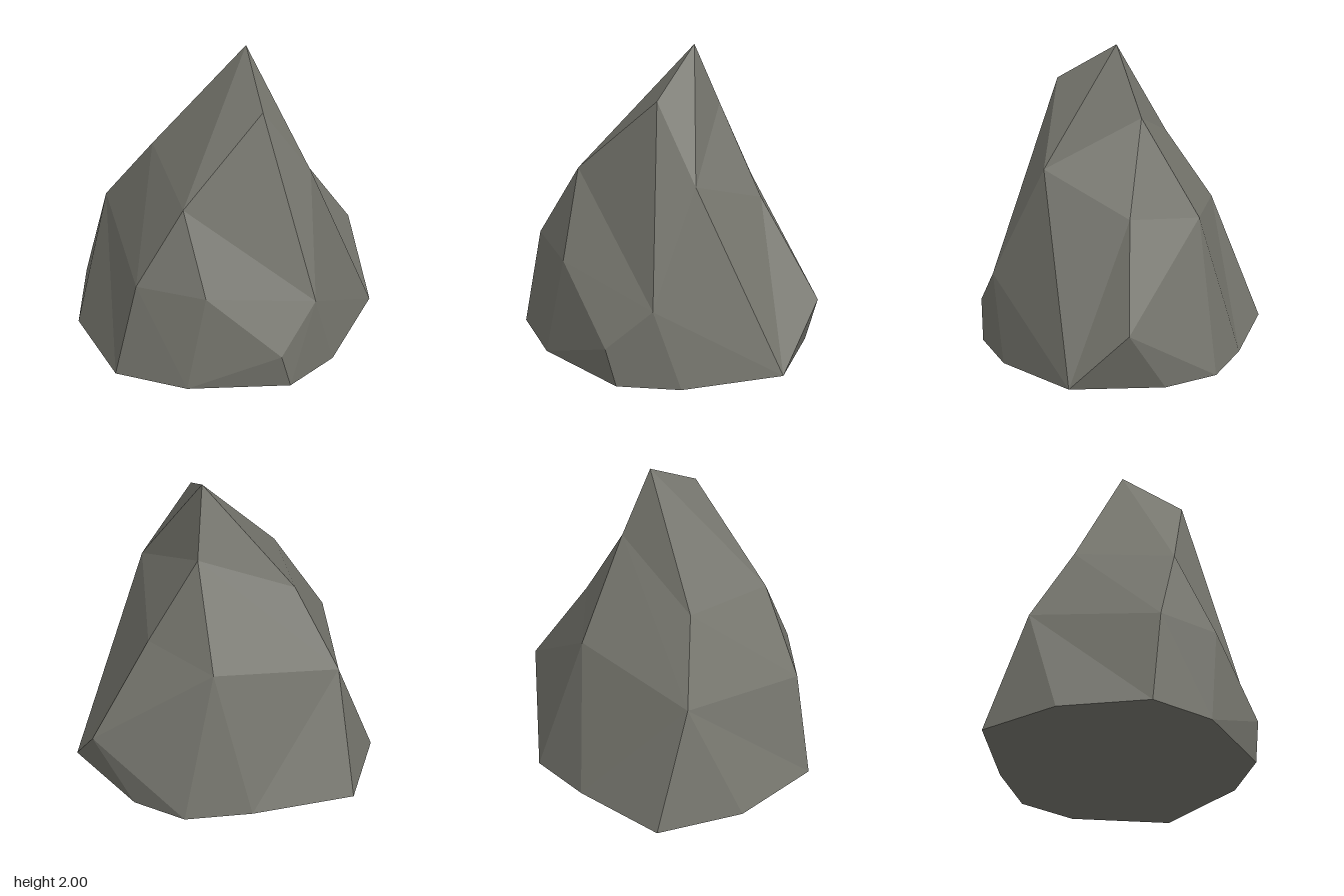
import * as THREE from 'three';

// Corners of the boulder, from the peak down to the base
const corners = {
  // peak and shoulders
  A: [0.13, 2.0, -0.07], B: [0.17, 1.75, 0.3], C: [0.17, 1.56, -0.25],
  D: [-0.43, 1.27, -0.17], E: [-0.35, 1.19, 0.45], F: [0.47, 1.26, 0.27],
  G: [0.475, 1.01, -0.295], H: [0.1, 0.94, -0.6], I: [-0.68, 0.785, -0.37],
  // lower bulges
  Q: [-0.645, 0.675, 0.475], R: [-0.25, 0.675, 0.685], U: [0.44, 0.53, 0.615],
  T: [0.2, 0.26, 0.785], J: [0.825, 0.39, -0.43],
  // base outline
  O: [-0.895, 0.037, -0.115], P: [-0.77, 0.04, 0.47], S: [-0.37, 0.04, 0.705],
  W: [0.26, 0.02, 0.75], V: [0.565, 0.008, 0.495], K: [0.89, 0.022, -0.06],
  X: [0.58, 0, -0.57], L: [0.29, 0.01, -0.785], M: [-0.125, 0.02, -0.77],
  N: [-0.75, 0.03, -0.65],
};

// Facets named by their corners; longer ones are fanned from the first corner
const facets = [
  'ACDEBFC',                                // peak
  'BEUF', 'EQR', 'UERT', 'RST', 'STW',      // front
  'QPSR', 'UTWV', 'FUK', 'UKV',
  'FGK', 'GJK', 'FCG', 'JKXL',              // +x side
  'CIH', 'CDI', 'GCHJ', 'HJLMI',            // back
  'DIQE', 'IQPONM',                         // -x side
  'OPSWVKXLMN',                             // underside
];

// Splits facets into triangles facing away from the core
function facetGeometry() {
  const core = new THREE.Vector3(0, 0.6, 0);
  const positions = [];
  const point = (name) => new THREE.Vector3(...corners[name]);
  for (const names of facets) {
    const fan = names === 'QPSR' ? 'QPSR' : names;
    for (let i = 1; i < fan.length - 1; i++) {
      const tri = [point(fan[0]), point(fan[i]), point(fan[i + 1])];
      const normal = new THREE.Triangle(...tri).getNormal(new THREE.Vector3());
      const middle = tri[0].clone().add(tri[1]).add(tri[2]).divideScalar(3);
      if (normal.dot(middle.sub(core)) < 0) tri.reverse();
      tri.forEach((p) => positions.push(p.x, p.y, p.z));
    }
  }
  const geometry = new THREE.BufferGeometry();
  geometry.setAttribute('position', new THREE.Float32BufferAttribute(positions, 3));
  geometry.computeVertexNormals(); // unshared corners give flat facets
  return geometry;
}

export function createModel() {
  const stone = new THREE.MeshStandardMaterial({ color: 0x76766e });
  stone.name = 'stoneGrey';

  const rock = new THREE.Mesh(facetGeometry(), stone);
  rock.name = 'rock';

  const model = new THREE.Group();
  model.name = 'boulder';
  model.add(rock);
  return model;
}
